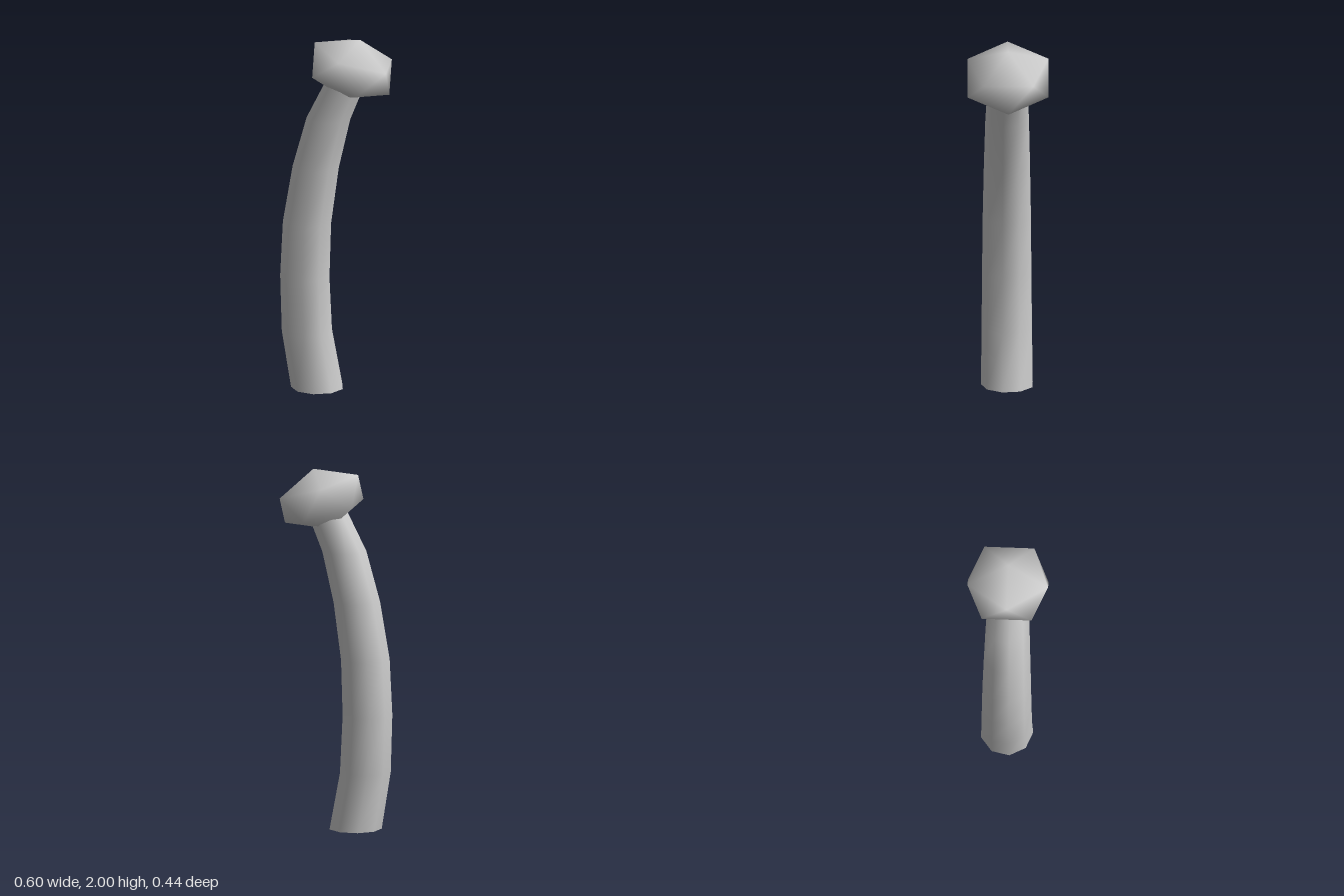
import * as THREE from 'three';
import { mergeVertices } from 'three/addons/utils/BufferGeometryUtils.js';

const material = new THREE.MeshStandardMaterial({ color: 0xcccccc });

// Weld duplicate corners so the normals are smooth
function weld(geometry) {
  geometry.deleteAttribute('uv');
  return mergeVertices(geometry);
}

// Curved nine-sided stem: each ring is [centre x, y, radius], bottom to top
function createStem() {
  const rings = [
    [-0.095, 0, 0.146],
    [-0.15, 0.32, 0.142],
    [-0.162, 0.64, 0.139],
    [-0.15, 0.95, 0.136],
    [-0.102, 1.27, 0.13],
    [-0.032, 1.55, 0.123],
    [0.075, 1.79, 0.111],
  ];
  const last = rings.length - 1;
  const geometry = weld(
    new THREE.CylinderGeometry(1, 1, last, 9, last, false, THREE.MathUtils.degToRad(-82))
  );
  const p = geometry.attributes.position;
  for (let i = 0; i < p.count; i++) {
    const [cx, y, r] = rings[Math.round(p.getY(i) + last / 2)];
    p.setXYZ(i, cx + r * p.getX(i), y, r * p.getZ(i));
  }
  geometry.computeVertexNormals();
  const stem = new THREE.Mesh(geometry, material);
  stem.name = 'stem';
  return stem;
}

// Head: a smooth-shaded icosahedron, stretched and skewed sideways
function createHead() {
  const phi = (1 + Math.sqrt(5)) / 2;
  const geometry = new THREE.IcosahedronGeometry(Math.hypot(1, phi), 0);
  geometry.deleteAttribute('normal');
  const head = weld(geometry);
  head.applyMatrix4(new THREE.Matrix4().set(
    0.126, -0.0495, 0, 0.095,
    0.0115, 0.0955, 0, 1.834,
    0, 0, 0.137, 0,
    0, 0, 0, 1
  ));
  head.computeVertexNormals();
  const mesh = new THREE.Mesh(head, material);
  mesh.name = 'head';
  return mesh;
}

export function createModel() {
  const model = new THREE.Group();
  model.name = 'curvedStemWithHead';
  model.add(createStem(), createHead());
  return model;
}
